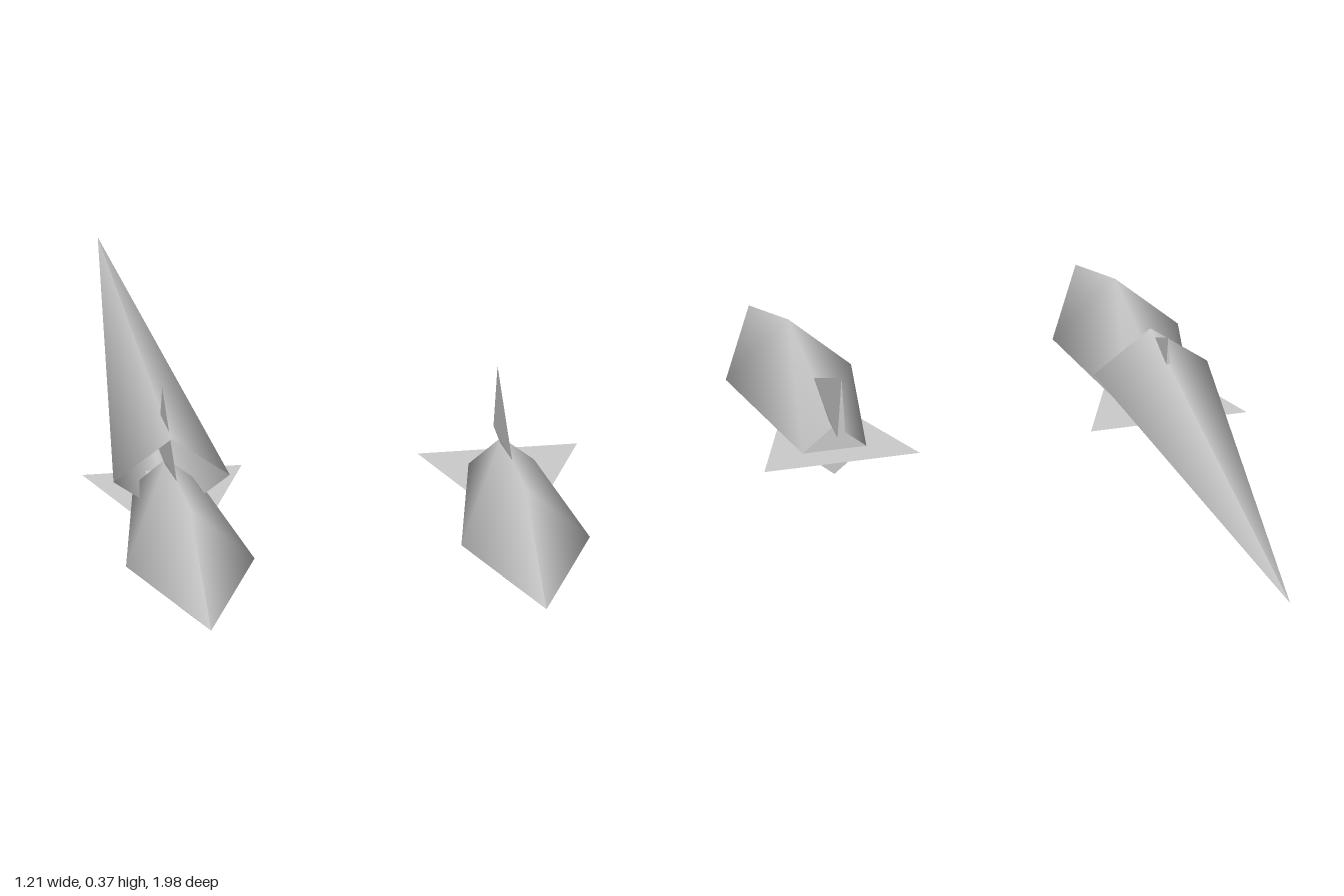
import * as THREE from 'three';

const material = new THREE.MeshStandardMaterial({ color: 0xcccccc, side: THREE.DoubleSide });

// Smooth four-sided loft; each ring is [z, halfWidth, halfHeight], front to back
function diamondLoft(rings) {
  const positions = [], index = [];
  const corners = [[1, 0], [0, 1], [-1, 0], [0, -1]];
  rings.forEach(([z, w, h], i) => {
    corners.forEach(([cx, cy], k) => {
      positions.push(cx * w, cy * h, z);
      if (i === rings.length - 1) return;
      const a = i * 4 + k, b = i * 4 + (k + 1) % 4;
      index.push(a, a + 4, b, b, a + 4, b + 4);
    });
  });
  const geometry = new THREE.BufferGeometry();
  geometry.setAttribute('position', new THREE.Float32BufferAttribute(positions, 3));
  geometry.setIndex(index);
  geometry.computeVertexNormals();
  return geometry;
}

// Thin wedge: sharp upper tip and front edge, widest at the bottom of its back
function verticalFinGeometry() {
  const tip = [0, 0.227, 0.135], root = [0, 0.1, 0.39], keel = [0, 0.065, 0.39];
  const left = [0.01, 0.065, 0.135], right = [-0.01, 0.065, 0.135];
  const faces = [
    tip, root, left, root, keel, left,
    tip, right, root, root, right, keel,
    tip, left, right, left, keel, right,
  ];
  const geometry = new THREE.BufferGeometry();
  geometry.setAttribute('position', new THREE.Float32BufferAttribute(faces.flat(), 3));
  geometry.computeVertexNormals();
  return geometry;
}

// Flat plate spanning both sides of the tail
function tailPlateGeometry() {
  const outline = [[-0.195, 0.13], [0.195, 0.13], [0.08, 0.4], [-0.08, 0.4]];
  const shape = new THREE.Shape(outline.map(([x, z]) => new THREE.Vector2(x, -z)));
  return new THREE.ShapeGeometry(shape).rotateX(-Math.PI / 2);
}

function addPart(group, name, geometry) {
  const mesh = new THREE.Mesh(geometry, material);
  mesh.name = name;
  group.add(mesh);
  return mesh;
}

function createMissile(name, x) {
  const missile = new THREE.Group();
  missile.name = name;
  missile.position.set(x, 0.145, 0);
  addPart(missile, 'body', diamondLoft([
    [0.99, 0, 0], [0.625, 0.157, 0.143], [0.2, 0.08, 0.066],
  ]));
  addPart(missile, 'tailCap', diamondLoft([[0.2, 0.08, 0.066], [0.2, 0, 0]]));
  addPart(missile, 'verticalFin', verticalFinGeometry());
  addPart(missile, 'horizontalFins', tailPlateGeometry());
  return missile;
}

export function createModel() {
  const model = new THREE.Group();
  model.name = 'missilePair';
  const left = createMissile('leftMissile', 0.407);
  const right = createMissile('rightMissile', -0.412);
  model.add(left, right);

  // Long exhaust plume, open at the front where it wraps the tail
  const plume = addPart(right, 'exhaustPlume', diamondLoft([[0.3, 0.142, 0.107], [-0.99, 0, 0]]));
  plume.position.y = 0.063;
  return model;
}
